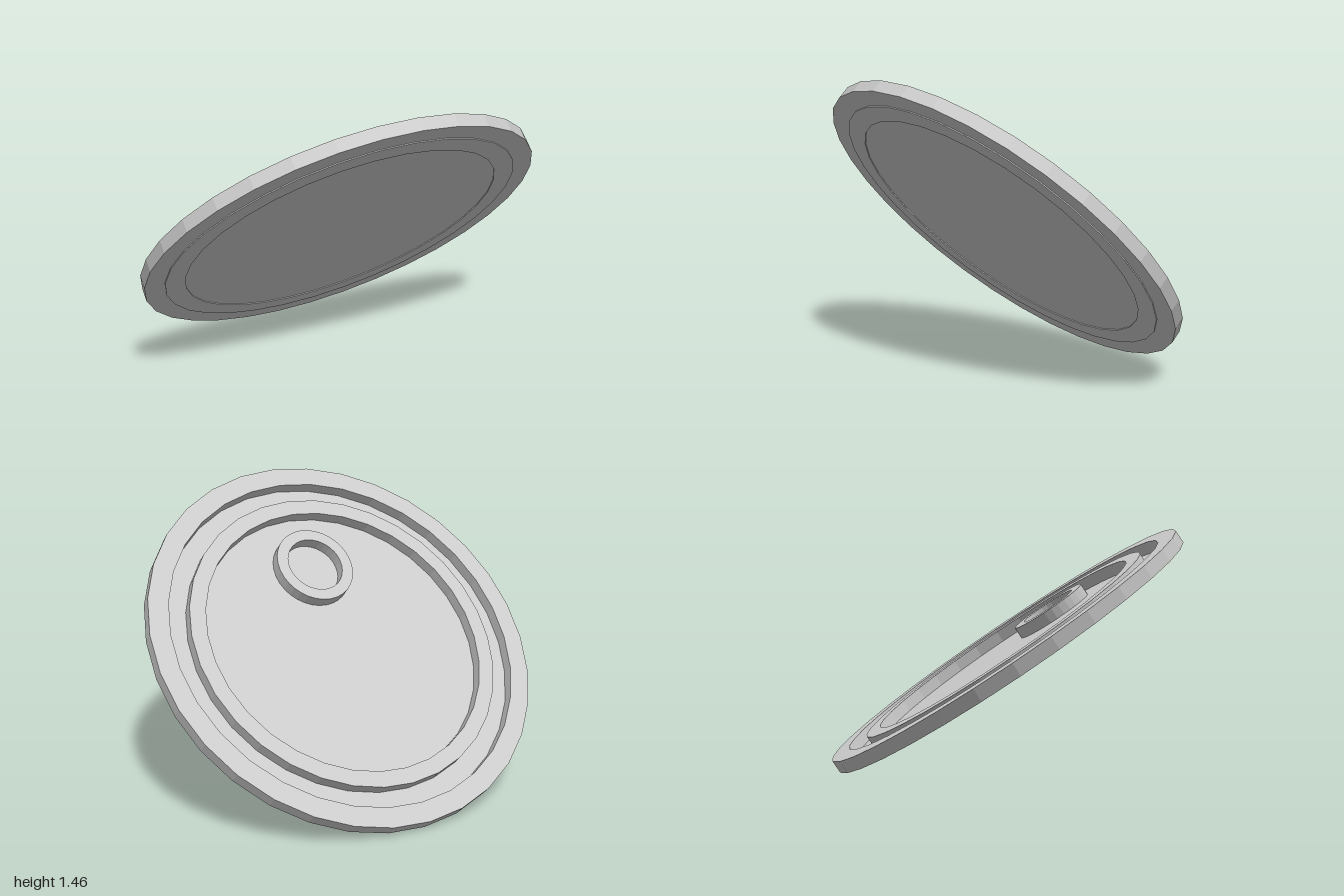
import * as THREE from 'three';

const SIDES = 32;
const TOP = 0.0325, BOTTOM = -0.0325, FLOOR = -0.028, BEAD = -0.0375;

// Flat-shaded part turned around the y axis from [radius, height] pairs
function turned(name, profile, material) {
  const points = profile.map(([r, y]) => new THREE.Vector2(r, y));
  const mesh = new THREE.Mesh(new THREE.LatheGeometry(points, SIDES), material);
  mesh.name = name;
  return mesh;
}

export function createModel() {
  const model = new THREE.Group();
  model.name = 'tiltedLid';
  const material = new THREE.MeshStandardMaterial({ color: 0xcccccc, flatShading: true });

  // Lid: panel underside, shallow bead, outer rim, channel, inner ring, panel top
  const lid = turned('lid', [
    [0, BOTTOM], [0.8, BOTTOM],
    [0.8, BEAD], [0.9, BEAD], [0.9, BOTTOM],
    [1, BOTTOM], [1, TOP], [0.9, TOP],
    [0.9, FLOOR], [0.8, FLOOR],
    [0.8, TOP], [0.72, TOP],
    [0.72, FLOOR], [0, FLOOR],
  ], material);

  // Raised ring standing on the panel
  const pullRing = turned('pullRing', [
    [0.203, FLOOR], [0.203, TOP], [0.145, TOP], [0.145, FLOOR],
  ], material);
  pullRing.position.z = 0.418;

  // Whole lid leans 45 degrees, top face towards the back
  const tilt = new THREE.Group();
  tilt.name = 'lidAssembly';
  tilt.add(lid, pullRing);
  tilt.rotation.x = -Math.PI / 4;
  tilt.position.y = (1 + TOP) * Math.SQRT1_2;
  model.add(tilt);
  return model;
}
